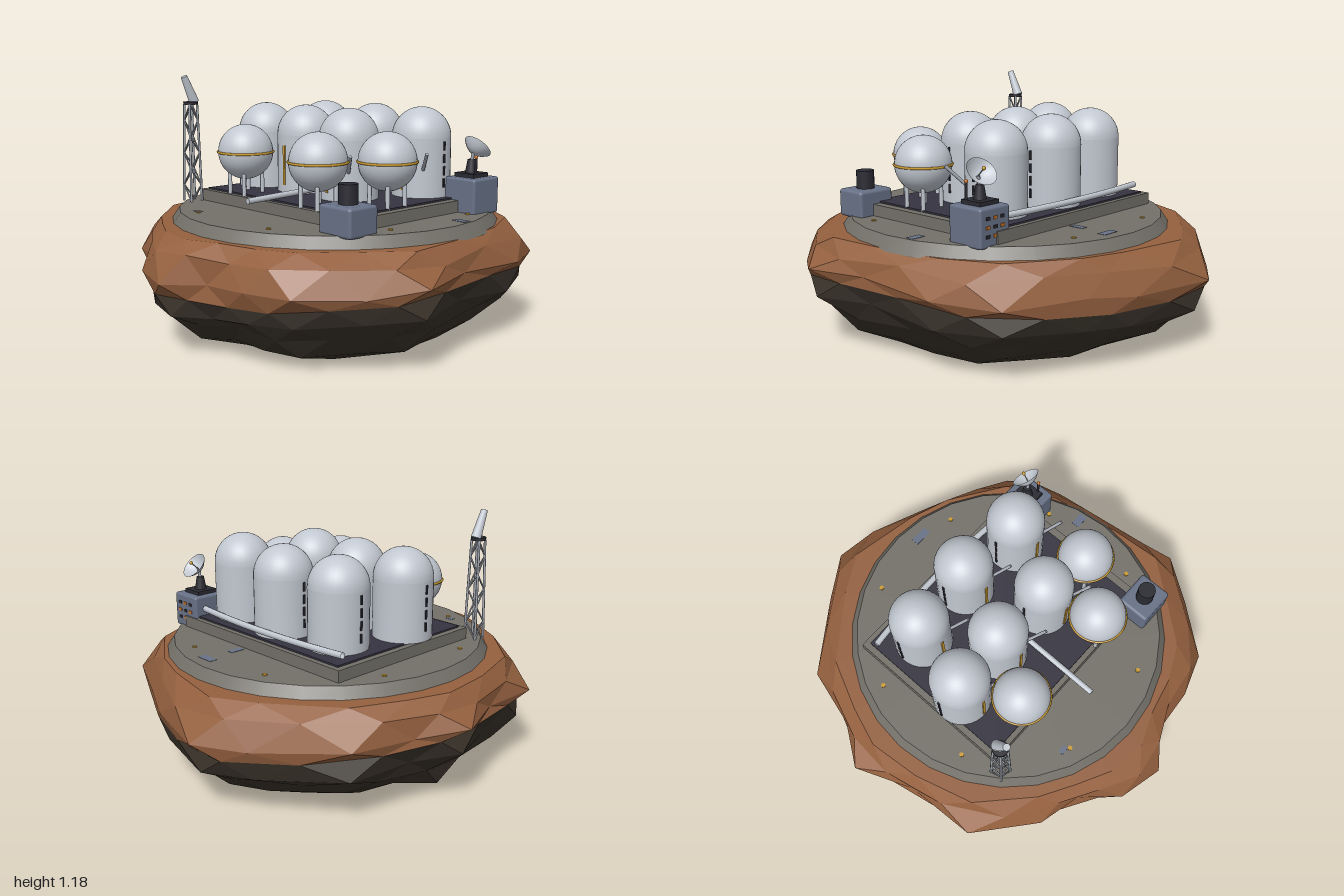
import * as THREE from 'three';
import { RoundedBoxGeometry } from 'three/addons/geometries/RoundedBoxGeometry.js';

const mat = (name, color, side = THREE.FrontSide) => {
  const m = new THREE.MeshStandardMaterial({ color, side });
  m.name = name;
  return m;
};

export function createModel() {
  const root = new THREE.Group();
  root.name = 'asteroidTankFarm';
  const rust = mat('rust rock', 0x94603f);
  const darkRock = mat('dark rock', 0x39322a);
  const deckGrey = mat('deck grey', 0x74716a);
  const floorDark = mat('floor dark', 0x353340);
  const white = mat('tank white', 0xc2c8d1, THREE.DoubleSide);
  const steel = mat('steel', 0xa2a7b0);
  const blueGrey = mat('hut blue grey', 0x687287);
  const black = mat('dark metal', 0x2b2b33);
  const yellow = mat('marking yellow', 0xcc9c30);
  const orange = mat('window orange', 0xc87428);

  const add = (name, geo, m, x = 0, y = 0, z = 0, parent = root) => {
    const mesh = new THREE.Mesh(geo, m);
    mesh.name = name;
    mesh.position.set(x, y, z);
    parent.add(mesh);
    return mesh;
  };
  const box = (name, w, h, d, m, x, y, z, parent) => add(name, new THREE.BoxGeometry(w, h, d), m, x, y, z, parent);
  const cyl = (name, rt, rb, h, m, x, y, z, parent, n = 20) =>
    add(name, new THREE.CylinderGeometry(rt, rb, h, n), m, x, y, z, parent);
  const UP = new THREE.Vector3(0, 1, 0);
  // Rod between two points
  const rod = (name, a, b, r, m, parent = root, r2 = r, n = 8) => {
    const A = new THREE.Vector3(...a), B = new THREE.Vector3(...b);
    const mid = A.clone().add(B).multiplyScalar(0.5), d = B.clone().sub(A);
    const mesh = cyl(name, r2, r, d.length(), m, mid.x, mid.y, mid.z, parent, n);
    mesh.quaternion.setFromUnitVectors(UP, d.normalize());
    return mesh;
  };

  // Rock: plan outline scaled through staggered rings
  const outline = [[-.195, -1], [.19, -.89], [.4, -.79], [.74, -.63], [.865, -.345], [.88, .05], [.95, .345], [.81, .56],
    [.62, .79], [.41, .86], [.19, .875], [.02, 1], [-.2, .945], [-.35, .785], [-.56, .73], [-.83, .5], [-.85, .16],
    [-.965, -.12], [-.83, -.32], [-.75, -.61], [-.41, -.865]];
  const N = outline.length;
  let seed = 7;
  const rnd = () => (seed = (seed * 16807) % 2147483647) / 2147483647 - 0.5;
  // scale, height, sag towards front and back, radial jitter, height jitter
  const rings = [[0, 0, 0, 0, 0], [.66, 0, 0, 0, 0], [.785, .07, .01, .04, .02], [.895, .16, .015, .04, .03],
    [.955, .25, .05, .03, .03], [.985, .352, .085, .015, .02], [1, .38, .045, 0, .03], [.97, .45, 0, .03, .03],
    [.87, .51, 0, .03, 0], [0, .51, 0, 0, 0]]
    .map(([s, y, sag, jr, jy], j) => outline.map((p, i) => {
      const q = outline[(i + 1) % N], shift = j % 2 / 2;
      const x = p[0] + (q[0] - p[0]) * shift, z = p[1] + (q[1] - p[1]) * shift;
      const r = Math.hypot(x, z);
      let k = s + rnd() * jr;
      if (j === 1) k = (.61 + rnd() * .07) / r;
      if (j === 8) k = Math.max(k, .82 / r);
      return [x * k + (j === 1 ? .03 : 0), y - sag * Math.abs(z) + rnd() * jy, z * k];
    }));
  const rockBand = (name, from, to, m) => {
    const pos = [];
    for (let j = from; j < to; j++) for (let i = 0; i < N; i++) {
      const n = (i + 1) % N, lo = rings[j], hi = rings[j + 1];
      // Diagonal follows the stagger of the two rings
      const tris = j % 2 === 0
        ? [lo[i], hi[i], lo[n], lo[n], hi[i], hi[n]]
        : [lo[i], hi[i], hi[n], lo[i], hi[n], lo[n]];
      tris.forEach(v => pos.push(...v));
    }
    const g = new THREE.BufferGeometry();
    g.setAttribute('position', new THREE.Float32BufferAttribute(pos, 3));
    g.computeVertexNormals();
    add(name, g, m);
  };
  rockBand('rockUnderside', 0, 5, darkRock);
  rockBand('rockCrust', 5, 9, rust);

  // Landing disc, lamps, deck plates and tank platform
  cyl('deckDisc', .75, .79, .06, deckGrey, .03, .53, 0, root, 28);
  for (let i = 0; i < 8; i++) {
    const a = (i + .5) * Math.PI / 4;
    cyl('deckLamp', .011, .011, .005, yellow, .025 + Math.cos(a) * .67, .562, Math.sin(a) * .67, root, 10);
  }
  for (const [x, z, w, d] of [[.11, -.67, .09, .04], [.11, -.51, .035, .07], [.72, -.115, .07, .04], [-.26, .6, .04, .025]])
    box('deckPlate', w, .002, d, blueGrey, x, .5605, z);
  box('platform', 1.1, .058, .86, deckGrey, .03, .586, -.03);
  box('platformFloor', 1.03, .009, .81, floorDark, .025, .6185, -.03);

  // Tall domed tanks
  const R = .14;
  const profile = [new THREE.Vector2(R, 0), new THREE.Vector2(R, .28)];
  for (let i = 0; i <= 12; i++) {
    const a = i / 12 * Math.PI / 2;
    profile.push(new THREE.Vector2(Math.cos(a) * R, .28 + Math.sin(a) * R));
  }
  const tankGeo = new THREE.LatheGeometry(profile, 36);
  for (const [x, z] of [[-.305, -.25], [.03, -.28], [.365, -.25], [-.39, .08], [-.11, .06], [.2, .07]]) {
    const g = new THREE.Group();
    g.name = 'tallTank';
    g.position.set(x, .62, z);
    root.add(g);
    add('tankShell', tankGeo, white, 0, 0, 0, g);
    for (const s of [-1, 1]) for (let k = 0; k < 4; k++)
      box('ladderSection', .008, .042, .01, black, s * (R + .001), .07 + k * .058, 0, g);
    box('yellowStripe', .014, .19, .008, yellow, 0, .135, R, g);
    rod('valvePipe', [.09, .13, .09], [.165, .22, .15], .008, steel, g);
  }

  // Round tanks on legs
  for (const [x, z] of [[-.25, .325], [.28, .335], [.475, .1]]) {
    const g = new THREE.Group();
    g.name = 'roundTank';
    g.position.set(x, .82, z);
    root.add(g);
    add('sphereShell', new THREE.SphereGeometry(.132, 36, 24), white, 0, 0, 0, g);
    add('yellowBelt', new THREE.TorusGeometry(.133, .006, 6, 40), yellow, 0, 0, 0, g).rotation.x = Math.PI / 2;
    for (let i = 0; i < 4; i++) {
      const a = (i + .5) * Math.PI / 2;
      cyl('tankLeg', .01, .01, .15, white, Math.cos(a) * .078, -.13, Math.sin(a) * .078, g, 8);
    }
  }

  // Feed pipes
  const backPipe = new THREE.QuadraticBezierCurve3(new THREE.Vector3(-.48, .655, -.395),
    new THREE.Vector3(.02, .655, -.455), new THREE.Vector3(.5, .655, -.395));
  add('backPipe', new THREE.TubeGeometry(backPipe, 16, .015, 10), white);
  rod('centrePipe', [.025, .66, -.3], [.025, .635, .53], .014, white, root, .014, 12);

  // Front hut with chimney
  add('frontHut', new RoundedBoxGeometry(.19, .13, .165, 2, .015), blueGrey, .557, .615, .42);
  cyl('hutChimney', .042, .042, .09, black, .557, .72, .42);

  // Rear hut with windows and dish
  add('rearHut', new RoundedBoxGeometry(.175, .17, .185, 2, .012), blueGrey, .585, .635, -.36);
  for (let r = 0; r < 3; r++) for (let c = 0; c < 3; c++)
    box('hutWindow', .022, .014, .006, (r + c) % 2 ? orange : black, .545 + c * .042, .6 + r * .038, -.4535);
  box('roofPlate', .11, .02, .11, black, .58, .728, -.36);
  cyl('dishPedestal', .018, .03, .07, black, .58, .765, -.36);
  rod('dishArm', [.58, .78, -.36], [.59, .835, -.36], .008, steel);
  cyl('roofAerial', .006, .006, .09, black, .63, .765, -.33, root, 8);
  add('aerialTip', new THREE.SphereGeometry(.009, 10, 8), orange, .63, .815, -.33);
  const dish = new THREE.Group();
  dish.name = 'dish';
  dish.position.set(.59, .83, -.355);
  dish.quaternion.setFromUnitVectors(UP, new THREE.Vector3(.1, .68, -.7).normalize());
  root.add(dish);
  const bowl = [];
  for (let i = 0; i <= 8; i++) bowl.push(new THREE.Vector2(.07 * i / 8, .042 * (i / 8) ** 2));
  add('dishBowl', new THREE.LatheGeometry(bowl, 24), white, 0, 0, 0, dish);
  cyl('dishFeed', .003, .003, .06, steel, 0, .03, 0, dish, 6);
  add('dishFeedTip', new THREE.SphereGeometry(.009, 10, 8), yellow, 0, .062, 0, dish);

  // Lattice mast with tilted horn
  const mx = -.53, mz = .445, levels = 6;
  const corner = (i, k) => {
    const w = .032 - .01 * k / levels;
    return [mx + [1, 1, -1, -1][i % 4] * w, .56 + k * .08, mz + [1, -1, -1, 1][i % 4] * w];
  };
  for (let i = 0; i < 4; i++) {
    rod('mastLeg', corner(i, 0), corner(i, levels), .006, steel);
    for (let k = 0; k < levels; k++) {
      const up = (i + k) % 2;
      rod('mastBrace', corner(i + up, k), corner(i + 1 - up, k + 1), .004, steel, root, .004, 5);
    }
  }
  cyl('mastCap', .036, .036, .014, black, mx, 1.045, mz, root, 12);
  rod('mastHorn', [mx, 1.05, mz - .02], [mx, 1.175, mz + .035], .025, white, root, .016, 16);
  return root;
}
